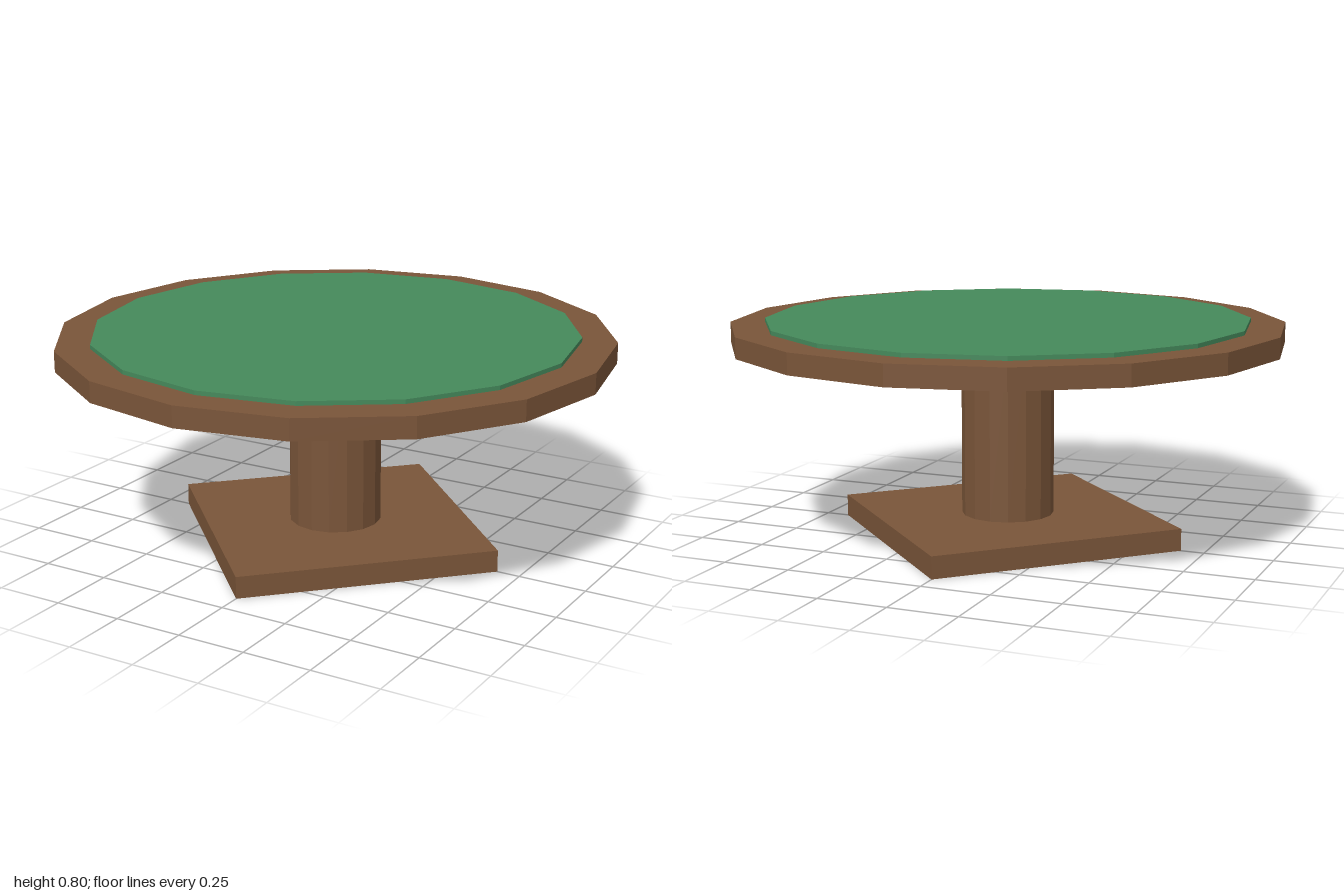
import * as THREE from 'three';

const wood = new THREE.MeshStandardMaterial({ name: 'brown wood', color: 0x7a5539, flatShading: true });
const felt = new THREE.MeshStandardMaterial({ name: 'green felt', color: 0x45895b, flatShading: true });

// Upright prism with a corner on the z axis, from height y0 to y1
function prism(name, radius, y0, y1, sides, material) {
  const mesh = new THREE.Mesh(new THREE.CylinderGeometry(radius, radius, y1 - y0, sides), material);
  mesh.position.y = (y0 + y1) / 2;
  mesh.name = name;
  return mesh;
}

export function createModel() {
  const table = new THREE.Group();
  table.name = 'gameTable';
  table.add(
    prism('base', 0.665, 0, 0.08, 4, wood), // square foot turned 45 degrees
    prism('pedestal', 0.168, 0.08, 0.708, 16, wood),
    prism('tableTop', 1, 0.708, 0.783, 16, wood),
    prism('feltSurface', 0.875, 0.783, 0.798, 16, felt), // raised playing surface
  );
  return table;
}
